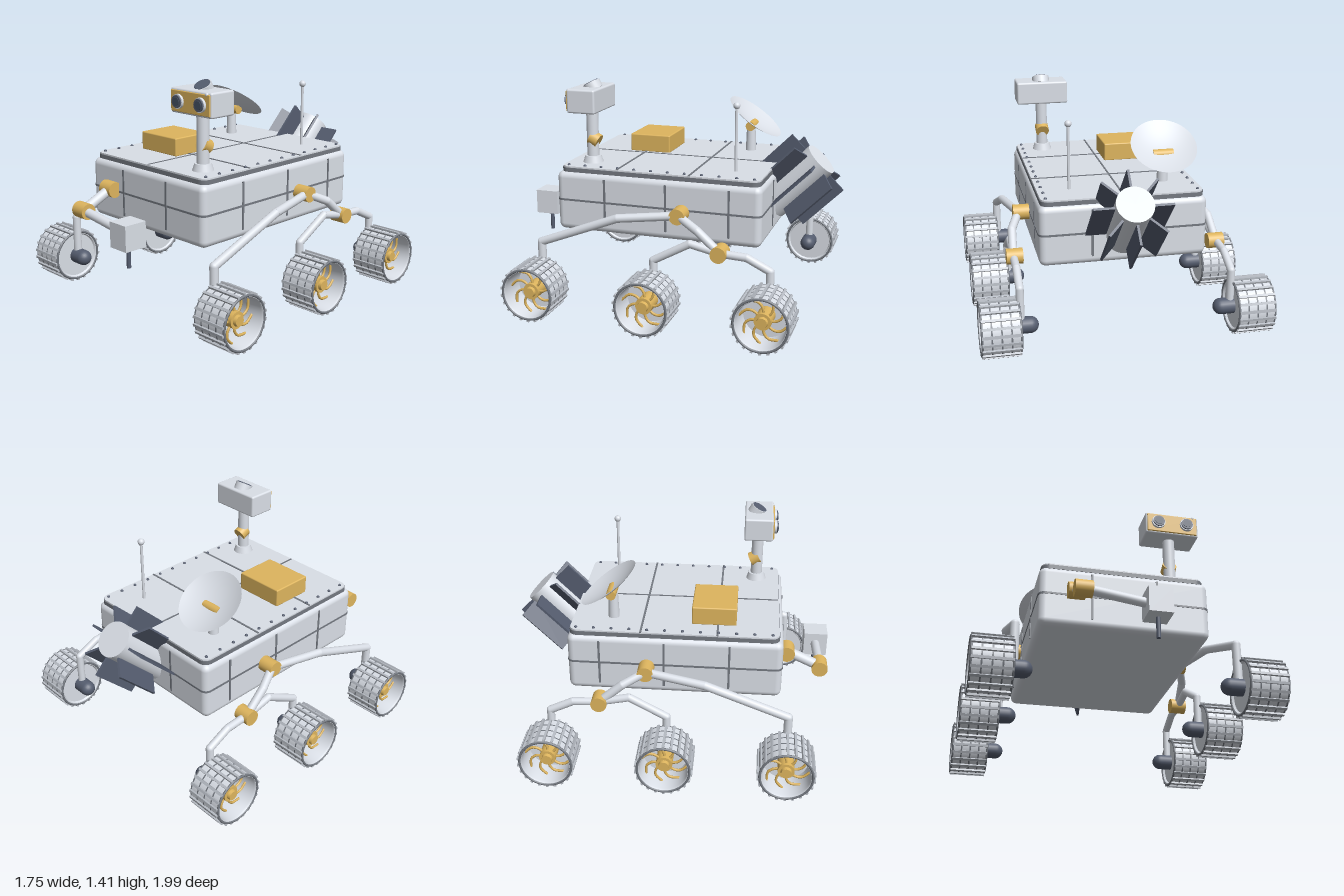
import * as THREE from 'three';
import { mergeGeometries, toCreasedNormals } from 'three/addons/utils/BufferGeometryUtils.js';
import { RoundedBoxGeometry } from 'three/addons/geometries/RoundedBoxGeometry.js';

const mat = (name, color, side = THREE.FrontSide) => {
  const m = new THREE.MeshStandardMaterial({ color, side });
  m.name = name;
  return m;
};
const silver = mat('silver', 0xdde2ea, THREE.DoubleSide);
const gold = mat('gold', 0xdeb55e);
const slate = mat('dark slate', 0x565e70);
const seamGrey = mat('seam grey', 0x757a82);
const treadGrey = mat('tread grey', 0xb6bbc3);
const lensBlue = mat('lens blue', 0x465264);

const V = (x, y, z) => new THREE.Vector3(x, y, z);

function add(parent, name, geometry, material, x = 0, y = 0, z = 0) {
  const mesh = new THREE.Mesh(geometry, material);
  mesh.name = name;
  mesh.position.set(x, y, z);
  parent.add(mesh);
  return mesh;
}
const box = (p, name, m, w, h, d, x, y, z, r = 0) =>
  add(p, name, r ? new RoundedBoxGeometry(w, h, d, 3, r) : new THREE.BoxGeometry(w, h, d), m, x, y, z);

// Cylinder between two points
function rod(p, name, m, a, b, r, r2 = r, sides = 20) {
  const mesh = add(p, name, new THREE.CylinderGeometry(r2, r, a.distanceTo(b), sides), m);
  mesh.position.copy(a).lerp(b, 0.5);
  mesh.quaternion.setFromUnitVectors(V(0, 1, 0), b.clone().sub(a).normalize());
  return mesh;
}

// Straight tubes joined by ball bends
function pipe(p, name, points, r) {
  const g = new THREE.Group();
  g.name = name;
  points.forEach((pt, i) => {
    if (i) rod(g, 'tube', silver, points[i - 1], pt, r, r, 16);
    add(g, 'bend', new THREE.SphereGeometry(r, 16, 10), silver, pt.x, pt.y, pt.z);
  });
  p.add(g);
}

// Gold pivot with its axis along x
const pivot = (p, name, x, y, z, r = 0.048, len = 0.1) =>
  rod(p, name, gold, V(x - len / 2, y, z), V(x + len / 2, y, z), r, r, 28);

// Flat plate with rounded corners in plan
function slab(p, name, m, w, d, h, r, y, z) {
  const s = new THREE.Shape(), a = w / 2, b = d / 2;
  s.absarc(a - r, b - r, r, 0, Math.PI / 2);
  s.absarc(r - a, b - r, r, Math.PI / 2, Math.PI);
  s.absarc(r - a, r - b, r, Math.PI, Math.PI * 1.5);
  s.absarc(a - r, r - b, r, Math.PI * 1.5, Math.PI * 2);
  const geo = new THREE.ExtrudeGeometry(s, { depth: h, bevelEnabled: false, curveSegments: 8 });
  return add(p, name, geo.rotateX(-Math.PI / 2), m, 0, y, z);
}

function makeBody(root) {
  const zc = 0.047;
  box(root, 'body', silver, 1.006, 0.37, 1.29, 0, 0.67, zc, 0.04);
  slab(root, 'deckTrim', seamGrey, 0.976, 1.254, 0.026, 0.05, 0.853, zc - 0.005);
  slab(root, 'deck', silver, 0.97, 1.248, 0.036, 0.05, 0.852, zc - 0.005);
  slab(root, 'waistSeam', seamGrey, 1.012, 1.296, 0.012, 0.042, 0.674, zc);
  // Panel seams
  for (const s of [-1, 1]) {
    for (const z of [0.375, -0.015, -0.405]) box(root, 'sideSeam', seamGrey, 0.008, 0.29, 0.013, s * 0.503, 0.68, z);
    for (const x of [-0.197, 0.19]) box(root, 'endSeam', seamGrey, 0.013, 0.29, 0.008, x, 0.68, zc + s * 0.645);
    // Rivets along the deck edge
    for (let i = 0; i < 12; i++)
      add(root, 'rivet', new THREE.SphereGeometry(0.01, 8, 6), slate, s * 0.455, 0.889, -0.545 + i * 0.1064);
  }
  box(root, 'deckSeam', seamGrey, 0.01, 0.006, 1.24, 0, 0.888, zc - 0.005);
  for (const z of [-0.155, 0.3]) box(root, 'deckSeam', seamGrey, 0.97, 0.006, 0.012, 0, 0.888, z);
  box(root, 'equipmentBox', gold, 0.32, 0.115, 0.268, -0.195, 0.942, 0.275, 0.008);
}

function makeMast(root) {
  const x = 0.323, z = 0.52;
  rod(root, 'mastBase', silver, V(x, 0.88, z), V(x, 0.93, z), 0.066, 0.05, 28);
  rod(root, 'mast', silver, V(x, 0.9, z), V(x, 1.23, z), 0.037, 0.037, 28);
  rod(root, 'mastJoint', gold, V(x, 1.045, z + 0.012), V(x, 1.018, z - 0.04), 0.044, 0.044, 28);
  box(root, 'cameraHead', silver, 0.335, 0.145, 0.18, x, 1.29, 0.522, 0.012);
  box(root, 'facePlate', gold, 0.314, 0.122, 0.018, x, 1.29, 0.611, 0.004);
  add(root, 'lamp', new THREE.SphereGeometry(0.011, 12, 8), silver, x + 0.132, 1.35, 0.612);
  for (const s of [-1, 1]) {
    const cx = x + s * 0.09;
    rod(root, 'lensRing', silver, V(cx, 1.29, 0.61), V(cx, 1.29, 0.635), 0.042, 0.042, 28);
    rod(root, 'lensBarrel', slate, V(cx, 1.29, 0.61), V(cx, 1.29, 0.643), 0.036, 0.036, 28);
    rod(root, 'lens', lensBlue, V(cx, 1.29, 0.63), V(cx, 1.29, 0.646), 0.025, 0.025, 24);
  }
  // Tilted sensor on top of the head
  rod(root, 'topSensor', silver, V(x, 1.34, 0.5), V(x, 1.383, 0.523), 0.056, 0.056, 28);
  rod(root, 'topLens', slate, V(x, 1.378, 0.52), V(x, 1.386, 0.5245), 0.05, 0.048, 28);
}

function makeDish(root) {
  const x = -0.293;
  rod(root, 'dishPost', silver, V(x, 0.88, -0.338), V(x, 1.05, -0.338), 0.034, 0.028, 24);
  pivot(root, 'dishJoint', x, 1.055, -0.345, 0.03, 0.125);
  const pts = [];
  for (let i = 0; i <= 10; i++) pts.push(new THREE.Vector2(i * 0.0202, 0.042 * (i / 10) ** 2));
  const dish = add(root, 'dish', new THREE.LatheGeometry(pts, 48), silver, x, 1.08, -0.342);
  dish.rotation.x = -0.625;
  // Whip antenna
  rod(root, 'antenna', silver, V(0.292, 0.88, -0.39), V(0.292, 1.28, -0.39), 0.009, 0.009, 10);
  add(root, 'antennaTip', new THREE.SphereGeometry(0.021, 16, 12), silver, 0.292, 1.285, -0.39);
}

// Finned power unit leaning out of the back
function makePowerUnit(root) {
  const g = new THREE.Group();
  g.name = 'powerUnit';
  g.position.set(0, 0.93, -0.853);
  g.rotation.x = -Math.PI / 4;
  root.add(g);
  rod(g, 'powerCore', silver, V(0, -0.43, 0), V(0, 0, 0), 0.11, 0.11, 36);
  for (let i = 0; i < 8; i++) {
    const a = i * Math.PI / 4;
    const fin = box(g, 'fin', slate, 0.135, 0.34, 0.014, Math.cos(a) * 0.165, -0.2, Math.sin(a) * 0.165);
    fin.rotation.y = -a;
  }
}

function makeArm(root) {
  const x = -0.293, shoulder = V(x, 0.695, 0.72), elbow = V(x, 0.6, 0.925), wrist = V(0.123, 0.545, 0.92);
  pivot(root, 'shoulderJoint', x, shoulder.y, shoulder.z, 0.049);
  pivot(root, 'elbowJoint', x, elbow.y, elbow.z, 0.049);
  rod(root, 'upperArm', silver, shoulder, elbow, 0.031);
  rod(root, 'forearm', silver, elbow, wrist, 0.028);
  box(root, 'toolHead', silver, 0.14, 0.155, 0.148, 0.123, 0.548, 0.923);
  rod(root, 'drill', slate, V(0.123, 0.345, 0.923), V(0.123, 0.48, 0.923), 0.013, 0.013, 12);
}

// Wheel with its axle on x and its open face towards +x
function makeWheel() {
  const g = new THREE.Group();
  g.name = 'wheel';
  const profile = [[0, -0.1], [0.138, -0.1], [0.145, -0.112], [0.162, -0.112], [0.162, 0.112],
    [0.147, 0.112], [0.142, 0.1], [0.14, -0.06], [0, -0.06]].map(p => new THREE.Vector2(...p));
  const rim = toCreasedNormals(new THREE.LatheGeometry(profile, 48), 0.6);
  add(g, 'rim', rim.rotateZ(-Math.PI / 2), silver);
  // Tread bars and bands
  const bars = [];
  for (let i = 0; i < 22; i++)
    bars.push(new THREE.BoxGeometry(0.226, 0.018, 0.015).translate(0, 0.165, 0).rotateX(i * Math.PI / 11));
  add(g, 'treadBars', mergeGeometries(bars), treadGrey);
  for (const x of [-0.056, 0, 0.056])
    add(g, 'treadBand', new THREE.CylinderGeometry(0.1645, 0.1645, 0.009, 48, 1, true).rotateZ(Math.PI / 2), seamGrey, x);
  for (const x of [-0.11, 0.11])
    add(g, 'rimEdge', new THREE.TorusGeometry(0.156, 0.008, 8, 48).rotateY(Math.PI / 2), seamGrey, x);
  // Curved spokes and hub
  const at = (r, a) => V(0.03, Math.cos(a) * r, Math.sin(a) * r);
  const curve = new THREE.CatmullRomCurve3([at(0.035, 0), at(0.075, 0.06), at(0.11, 0.28), at(0.143, 0.68)]);
  const spokes = [];
  for (let i = 0; i < 8; i++)
    spokes.push(new THREE.TubeGeometry(curve, 10, 0.008, 6).rotateX(i * Math.PI / 4));
  add(g, 'spokes', mergeGeometries(spokes), gold);
  rod(g, 'hub', gold, V(-0.07, 0, 0), V(0.055, 0, 0), 0.05, 0.05, 28);
  rod(g, 'hubCap', gold, V(0.05, 0, 0), V(0.075, 0, 0), 0.034, 0.03, 24);
  return g;
}

function makeSide(root, s) {
  const side = new THREE.Group();
  side.name = s > 0 ? 'leftSuspension' : 'rightSuspension';
  root.add(side);
  const P = (x, y, z) => V(s * x, y, z), leg = 0.635, axle = 0.177;
  pivot(side, 'rockerPivot', s * 0.553, 0.666, -0.118);
  pivot(side, 'bogiePivot', s * 0.628, 0.486, -0.39);
  const rocker = P(0.57, 0.666, -0.118), bogie = P(leg, 0.486, -0.39);
  pipe(side, 'frontRocker', [P(leg, axle, 0.74), P(leg, 0.44, 0.74), P(leg, 0.635, 0.24), rocker], 0.026);
  pipe(side, 'rearRocker', [rocker, P(0.625, 0.605, -0.25), bogie], 0.026);
  pipe(side, 'middleBogie', [bogie, P(leg, 0.525, -0.21), P(leg, 0.4, 0.015), P(leg, axle, 0.015)], 0.024);
  pipe(side, 'rearBogie', [bogie, P(leg, 0.478, -0.55), P(leg, 0.41, -0.69), P(leg, axle, -0.69)], 0.024);
  for (const z of [0.738, 0.015, -0.69]) {
    const wheel = makeWheel();
    wheel.position.set(s * 0.757, axle, z);
    if (s < 0) wheel.rotation.y = Math.PI;
    side.add(wheel);
    const motor = new THREE.CapsuleGeometry(0.05, 0.08, 8, 20).rotateZ(Math.PI / 2);
    add(side, 'wheelMotor', motor, slate, s * 0.62, axle, z);
  }
}

export function createModel() {
  const root = new THREE.Group();
  root.name = 'rover';
  makeBody(root);
  makeMast(root);
  makeDish(root);
  makePowerUnit(root);
  makeArm(root);
  for (const s of [-1, 1]) makeSide(root, s);
  return root;
}
